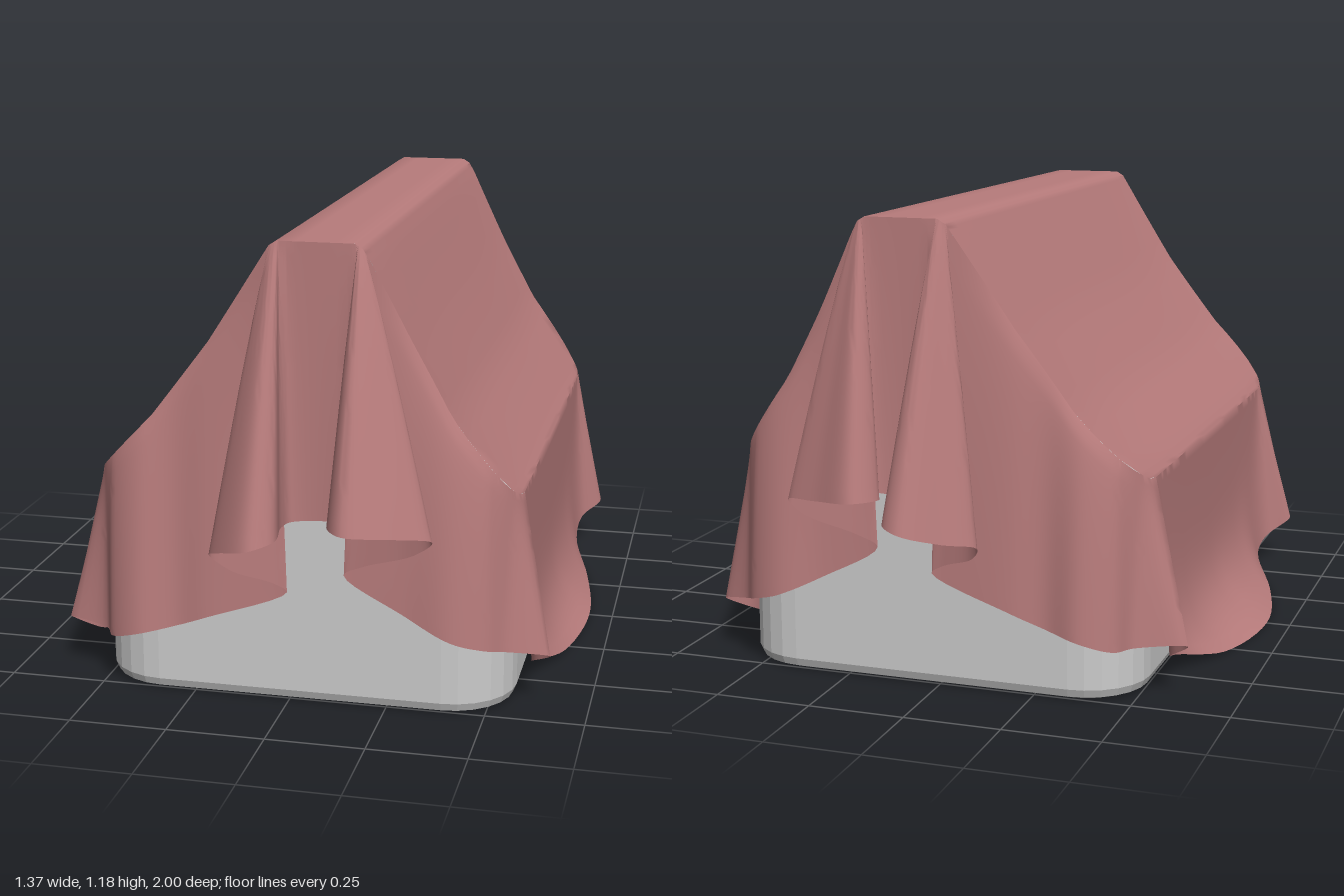
import * as THREE from 'three';
import { mergeGeometries, toCreasedNormals } from 'three/addons/utils/BufferGeometryUtils.js';

const L = -0.52, R = 0.57, CORNER = 0.17, END = 0.78, EAVE_END = END - CORNER;
const { lerp, clamp, smoothstep } = THREE.MathUtils;

// Cross-section of the draped roof: eave, sagging slope, flat ridge, slope, eave
const profile = [
  [L, 0.55], [-0.5, 0.575], [-0.35, 0.73], [-0.2, 0.925], [-0.055, 1.145], [-0.035, 1.175], [-0.015, 1.187],
  [0.175, 1.187], [0.195, 1.175], [0.215, 1.14], [0.31, 0.95], [0.41, 0.765], [0.55, 0.575], [R, 0.55],
];

function roofY(x) {
  const i = Math.max(1, profile.findIndex(p => x <= p[0]));
  const [x0, y0] = profile[i - 1], [x1, y1] = profile[i];
  return lerp(y0, y1, (x - x0) / (x1 - x0));
}

// 0 at the eave and ridge, 1 halfway up the slope
function slopeBow(x) {
  const s = x < 0 ? (x - L) / (-0.03 - L) : (R - x) / (R - 0.19);
  return Math.sin(Math.PI * clamp(s, 0, 1));
}

// Half length of the roof at x: rounded corners, gables drawn in a little
function roofZ(x) {
  const k = Math.max(0, CORNER - Math.min(x - L, R - x));
  return EAVE_END + Math.sqrt(Math.max(0, CORNER * CORNER - k * k)) - 0.035 * slopeBow(x);
}

// Hem points of the front end, from right to left
const rightGable = [
  [0.6, 0.1, 0.6], [0.65, 0.14, 0.66], [0.55, 0.17, 0.73], [0.5, 0.19, 0.785],
  [0.42, 0.215, 0.815], [0.3, 0.27, 0.795], [0.15, 0.36, 0.79],
];
const rightFold = [
  [0.2, 0.39, 0.8], [0.33, 0.44, 0.835], [0.385, 0.49, 0.87], [0.31, 0.515, 0.94],
  [0.19, 0.53, 0.995], [0.14, 0.53, 0.93], [0.165, 0.51, 0.82],
];
const panel = [[0.14, 0.5, 0.792], [0.02, 0.49, 0.79]];
const leftFold = [
  [0.005, 0.49, 0.84], [0.015, 0.49, 0.95], [-0.04, 0.475, 0.99], [-0.13, 0.445, 0.93],
  [-0.17, 0.415, 0.87], [-0.12, 0.365, 0.835], [-0.03, 0.33, 0.8],
];
const leftGable = [
  [0.005, 0.305, 0.79], [-0.2, 0.225, 0.8], [-0.29, 0.19, 0.79], [-0.38, 0.17, 0.815],
  [-0.46, 0.145, 0.78], [-0.5, 0.14, 0.715], [-0.62, 0.14, 0.66], [-0.56, 0.09, 0.6],
];

// A control ties a hem point to its place on the roof edge; flare bends the fall between them
const control = (hem, topX, topZ, flare) => ({ hem: new THREE.Vector3(...hem), topX, topZ, flare });

function gable(points, minX, maxX) {
  return points.map(h => {
    const topX = clamp(h[0], minX, maxX);
    const atCorner = topX === L || topX === R || h[2] < 0.75;
    return control(h, topX, Math.min(h[2], EAVE_END), atCorner ? 1 : 0.5);
  });
}

// Fold whose points all gather near one ridge corner
function fold(points, fromX, toX) {
  return points.map((h, i) => control(h, lerp(fromX, toX, i / (points.length - 1)), EAVE_END, 0.9));
}

// Side hem: falls straight, then spreads outwards on the floor
function side(edge, spread) {
  return [-0.5, -0.3, 0, 0.3, 0.5].map(z => {
    const out = spread * Math.cos(Math.PI * z / 1.15);
    return control([edge + out, 0.004 + 0.9 * z ** 4, z], edge, z, 1 + 6 * (1 - (z / 0.62) ** 2));
  });
}

function hemControls() {
  const front = [
    ...gable(rightGable, 0.21, R), ...fold(rightFold, 0.207, 0.18), ...fold(panel, 0.16, 0.01),
    ...fold(leftFold, -0.01, -0.042), ...gable(leftGable, L, -0.048),
  ];
  // The back repeats the front with its folds swung closer together
  const back = front.map(({ hem, topX, topZ, flare }) => {
    const out = smoothstep(hem.z, 0.82, 0.92), left = hem.x < 0.1;
    const x = hem.x + (left ? 0.05 : -0.04) * out;
    const z = -hem.z + (left ? -0.01 : 0.04) * out;
    return control([x, hem.y - 0.02 * out, z], topX, -topZ, flare);
  }).reverse();
  return [...side(R, 0.115), ...front, ...side(L, -0.165).reverse(), ...back];
}

function grid(cols, rows, closed, flip, point) {
  const pos = [], idx = [];
  for (let i = 0; i < cols; i++) for (let j = 0; j < rows; j++) pos.push(...point(i, j));
  for (let i = 0; i < (closed ? cols : cols - 1); i++) {
    for (let j = 0; j < rows - 1; j++) {
      const a = i * rows + j, b = ((i + 1) % cols) * rows + j;
      if (flip) idx.push(a, a + 1, b, b, a + 1, b + 1);
      else idx.push(a, b, a + 1, b, b + 1, a + 1);
    }
  }
  const g = new THREE.BufferGeometry();
  g.setAttribute('position', new THREE.Float32BufferAttribute(pos, 3));
  g.setIndex(idx);
  return g;
}

function makeCloth() {
  const ctrl = hemControls(), n = ctrl.length, SEG = 6, ROWS = 22;
  const hem = new THREE.CatmullRomCurve3(ctrl.map(c => c.hem), true, 'centripetal');
  // Skirt: hangs from the roof's edge down to the hem
  const skirt = grid(n * SEG, ROWS, true, false, (i, j) => {
    const k = Math.floor(i / SEG), f = (i % SEG) / SEG;
    const a = ctrl[k], b = ctrl[(k + 1) % n], v = j / (ROWS - 1);
    const x = clamp(lerp(a.topX, b.topX, f), L, R), edgeZ = lerp(a.topZ, b.topZ, f);
    const onEave = x < L + 1e-5 || x > R - 1e-5;
    const z = onEave ? edgeZ : Math.sign(edgeZ) * roofZ(x);
    const h = hem.getPoint(i / (n * SEG));
    const w = v ** lerp(a.flare, b.flare, f);
    return [lerp(x, h.x, w), lerp(roofY(x), Math.max(h.y, 0), v), lerp(z, h.z, w)];
  });
  // Roof: the profile run along z, with rounded corners and a slight sag
  const SUB = 4;
  const roof = grid((profile.length - 1) * SUB + 1, 25, false, true, (i, j) => {
    const k = Math.min(Math.floor(i / SUB), profile.length - 2);
    const x = lerp(profile[k][0], profile[k + 1][0], i / SUB - k), t = j / 12 - 1;
    return [x, roofY(x) - 0.02 * slopeBow(x) * (1 - t ** 4), t * roofZ(x)];
  });
  return toCreasedNormals(mergeGeometries([skirt, roof]), 0.75);
}

// Rounded-corner block standing on the floor
function makeBase() {
  const b = 0.03, x0 = L + 0.01 + b, x1 = R - 0.01 - b, z = 0.77 - b, r = 0.14;
  const s = new THREE.Shape();
  s.absarc(x1 - r, z - r, r, 0, Math.PI / 2);
  s.absarc(x0 + r, z - r, r, Math.PI / 2, Math.PI);
  s.absarc(x0 + r, -z + r, r, Math.PI, Math.PI * 1.5);
  s.absarc(x1 - r, -z + r, r, Math.PI * 1.5, Math.PI * 2);
  const g = new THREE.ExtrudeGeometry(s, {
    depth: 0.53 - 2 * b, bevelThickness: b, bevelSize: b, bevelSegments: 2, curveSegments: 3,
  });
  return g.rotateX(-Math.PI / 2).translate(0, b + 0.004, 0);
}

export function createModel() {
  const model = new THREE.Group();
  const grey = new THREE.MeshStandardMaterial({ color: 0xcccccc });
  const rose = new THREE.MeshStandardMaterial({ color: 0xb87c7c, side: THREE.DoubleSide });
  const add = (name, geometry, material) => {
    const mesh = new THREE.Mesh(geometry, material);
    mesh.name = name;
    model.add(mesh);
    return mesh;
  };
  add('baseBlock', makeBase(), grey);
  // Upright under the ridge
  add('ridgeSupport', new THREE.BoxGeometry(0.17, 0.66, 1.5), grey).position.set(0.08, 0.84, 0);
  add('drapedCloth', makeCloth(), rose);
  return model;
}
